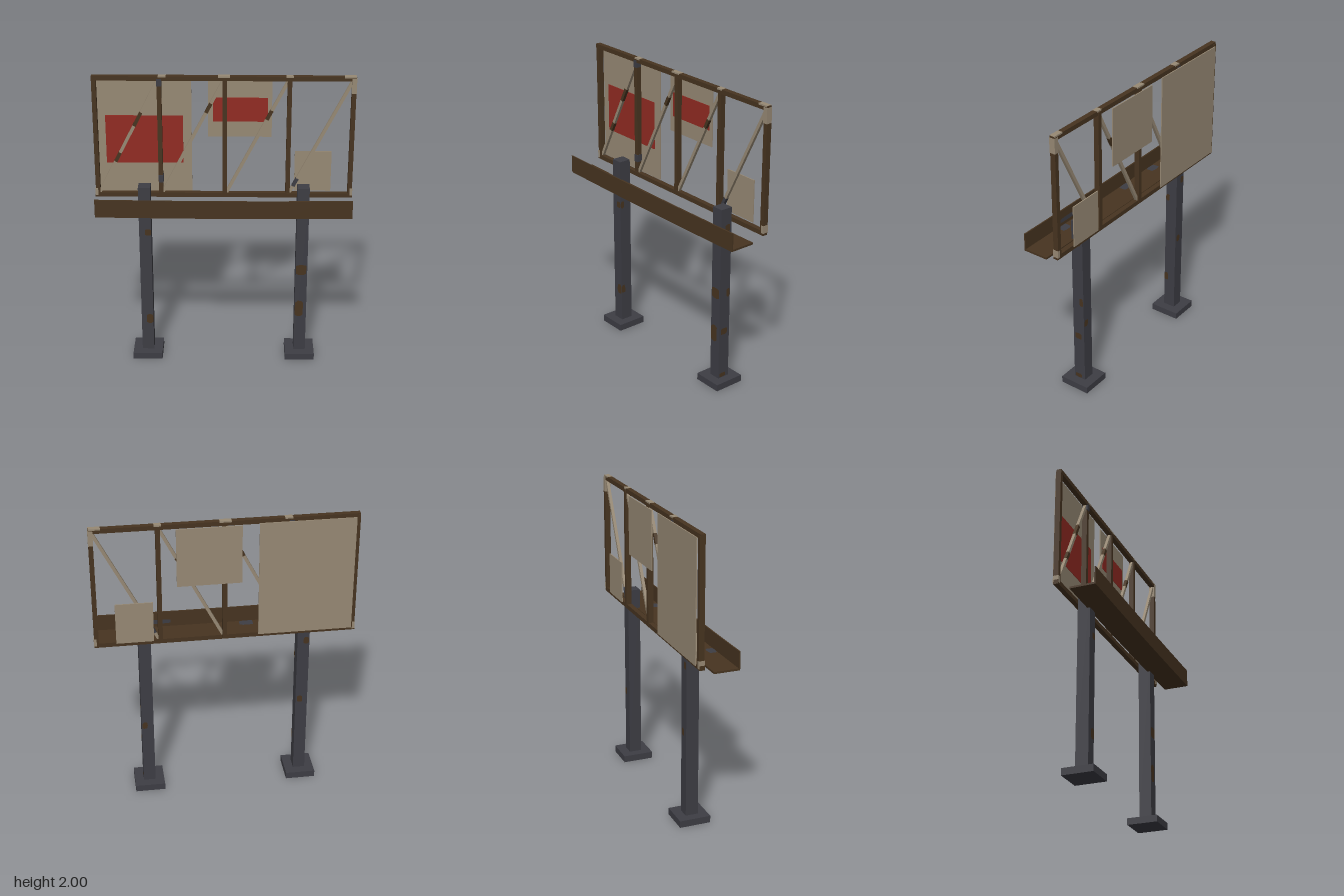
import * as THREE from 'three';

const mat = (name, color) => {
  const m = new THREE.MeshStandardMaterial({ color });
  m.name = name;
  return m;
};

export function createModel() {
  const model = new THREE.Group();
  model.name = 'billboardFrame';
  const rust = mat('rust brown', 0x473420);
  const steel = mat('dark steel', 0x3d3d44);
  const board = mat('weathered board', 0x978974);
  const red = mat('faded red', 0x922b22);

  let seed = 7;
  const rand = () => (seed = (seed * 16807) % 2147483647) / 2147483647;

  // box given by its limits on each axis
  const block = (name, m, [x0, x1], [y0, y1], [z0, z1], parent = model) => {
    const mesh = new THREE.Mesh(new THREE.BoxGeometry(x1 - x0, y1 - y0, z1 - z0), m);
    mesh.position.set((x0 + x1) / 2, (y0 + y1) / 2, (z0 + z1) / 2);
    mesh.name = name;
    parent.add(mesh);
  };

  // ragged flat patch, facing +z before it is turned
  const patch = (name, m, w, h, pos, rx = 0, ry = 0) => {
    const pts = [];
    for (let i = 0; i < 10; i++) {
      const a = (i / 10) * Math.PI * 2, k = 0.85 + rand() * 0.35;
      const cx = Math.max(-1, Math.min(1, Math.cos(a) * 1.25 * k));
      const cy = Math.max(-1, Math.min(1, Math.sin(a) * 1.25 * k));
      pts.push(new THREE.Vector2(cx * w / 2, cy * h / 2));
    }
    const mesh = new THREE.Mesh(new THREE.ShapeGeometry(new THREE.Shape(pts)), m);
    mesh.position.set(...pos);
    mesh.rotation.set(rx, ry, 0);
    mesh.name = name;
    model.add(mesh);
  };

  // posts on square footings
  for (const x of [-0.522, 0.522]) {
    block('footing', steel, [x - 0.1, x + 0.1], [0, 0.046], [-0.148, 0.062]);
    block('post', steel, [x - 0.04, x + 0.04], [0.04, 1.26], [-0.085, 0]);
  }

  // rust on the posts: front, sides and back
  const P = 0.0015;
  for (const [x, y, w, h] of [
    [0.52, 0.665, 0.07, 0.075], [0.512, 0.37, 0.055, 0.12],
    [-0.503, 0.94, 0.038, 0.045], [-0.506, 0.285, 0.045, 0.07],
  ]) patch('postRust', rust, w, h, [x, y, P]);
  for (const [z, y, w, h] of [
    [-0.052, 1.12, 0.04, 0.06], [-0.068, 0.665, 0.026, 0.06],
    [-0.04, 0.39, 0.05, 0.045], [-0.035, 0.065, 0.05, 0.03],
  ]) patch('postRust', rust, w, h, [0.562 + P, y, z], 0, Math.PI / 2);
  for (const [y, h] of [[0.94, 0.05], [0.29, 0.06]]) {
    patch('postRust', rust, 0.03, h, [-0.482 + P, y, -0.015], 0, Math.PI / 2);
  }
  for (const [x, y] of [[-0.54, 1.08], [-0.51, 0.62], [0.54, 0.5]]) {
    patch('postRust', rust, 0.035, 0.05, [x, y, -0.085 - P], 0, Math.PI);
  }

  // catwalk with an upright front lip, sagging slightly in the middle
  const sag = (x) => 0.006 * Math.cos(x * Math.PI / 1.664);
  const walk = new THREE.Shape([[-0.02, 1.119], [0.153, 1.119], [0.153, 1.241], [0.144, 1.241],
    [0.144, 1.132], [-0.02, 1.132]].map(([z, y]) => new THREE.Vector2(z, y)));
  const walkGeo = new THREE.ExtrudeGeometry(walk, { depth: 1.664, steps: 8, bevelEnabled: false });
  walkGeo.rotateY(-Math.PI / 2).translate(0.832, 0, 0);
  const p = walkGeo.attributes.position;
  for (let i = 0; i < p.count; i++) p.setY(i, p.getY(i) - sag(p.getX(i)));
  walkGeo.computeVertexNormals();
  const catwalk = new THREE.Mesh(walkGeo, rust);
  catwalk.name = 'catwalk';
  model.add(catwalk);
  for (const [x, w] of [[-0.48, 0.08], [-0.17, 0.09], [0.485, 0.075]]) {
    patch('catwalkWear', steel, w, 0.055, [x, 1.1335 - sag(x), 0.115], -Math.PI / 2);
  }
  patch('lipWear', steel, 0.18, 0.03, [0.42, 1.165, 0.1425], 0, Math.PI);

  // open lattice frame
  const frame = new THREE.Group();
  frame.name = 'frame';
  model.add(frame);
  const Z = [-0.122, -0.088];
  const uprights = [-0.832, -0.415, 0.005, 0.42, 0.83];
  block('topRail', rust, [-0.846, 0.844], [1.966, 1.996], Z, frame);
  block('bottomRail', rust, [-0.85, 0.846], [1.16, 1.19], Z, frame);
  for (const x of uprights) {
    block('upright', rust, [x - 0.0145, x + 0.0145], [1.17, 1.985], [-0.126, -0.09], frame);
  }

  // one diagonal brace in each bay
  const brace = (name, m, a, b, size) => {
    const mesh = new THREE.Mesh(new THREE.BoxGeometry(size, a.distanceTo(b), size), m);
    mesh.position.copy(a).lerp(b, 0.5);
    mesh.rotation.z = -Math.atan2(b.x - a.x, b.y - a.y);
    mesh.name = name;
    frame.add(mesh);
  };
  for (let i = 0; i < 4; i++) {
    const a = new THREE.Vector3(uprights[i] + 0.012, 1.19, -0.107);
    const b = new THREE.Vector3(uprights[i + 1] - 0.008, 1.965, -0.107);
    brace('brace', board, a, b, 0.02);
    const at = (t) => a.clone().lerp(b, t);
    const stains = [[[0.28, 0.36], [0.6, 0.72]], [[0.72, 0.8]], [[0.66, 0.74]], []][i];
    for (const [s, e] of stains) brace('braceRust', rust, at(s), at(e), 0.0215);
    if (i === 3) brace('braceSteel', steel, at(0.06), at(0.13), 0.0215);
  }

  // bare spots on top of the rail
  for (const [x, w] of [[-0.395, 0.05], [0, 0.075], [0.42, 0.045], [0.805, 0.075]]) {
    block('railWear', board, [x - w / 2, x + w / 2], [1.988, 1.998], [-0.1225, -0.0875], frame);
  }

  // worn corners and steel patches wrapped around the uprights
  const wrap = (name, m, x, y, w, h) =>
    block(name, m, [x - w / 2, x + w / 2], [y - h / 2, y + h / 2], [-0.1265, -0.0865], frame);
  wrap('jointWear', board, 0.83, 1.935, 0.031, 0.1);
  wrap('jointWear', board, 0.838, 1.2, 0.018, 0.05);
  wrap('jointWear', board, -0.84, 1.195, 0.018, 0.05);
  wrap('jointSteel', steel, -0.415, 1.955, 0.031, 0.05);
  wrap('jointSteel', steel, -0.413, 1.29, 0.032, 0.05);

  // remaining boards behind the frame, two with red posters
  for (const [x, y] of [
    [[-0.822, -0.21], [1.185, 1.975]],
    [[-0.103, 0.31], [1.572, 1.968]],
    [[0.464, 0.705], [1.19, 1.472]],
  ]) block('boardPanel', board, x, y, [-0.139, -0.132]);
  for (const [x, y] of [
    [[-0.77, -0.266], [1.388, 1.717]],
    [[-0.07, 0.284], [1.677, 1.84]],
  ]) block('poster', red, x, y, [-0.132, -0.129]);

  return model;
}
